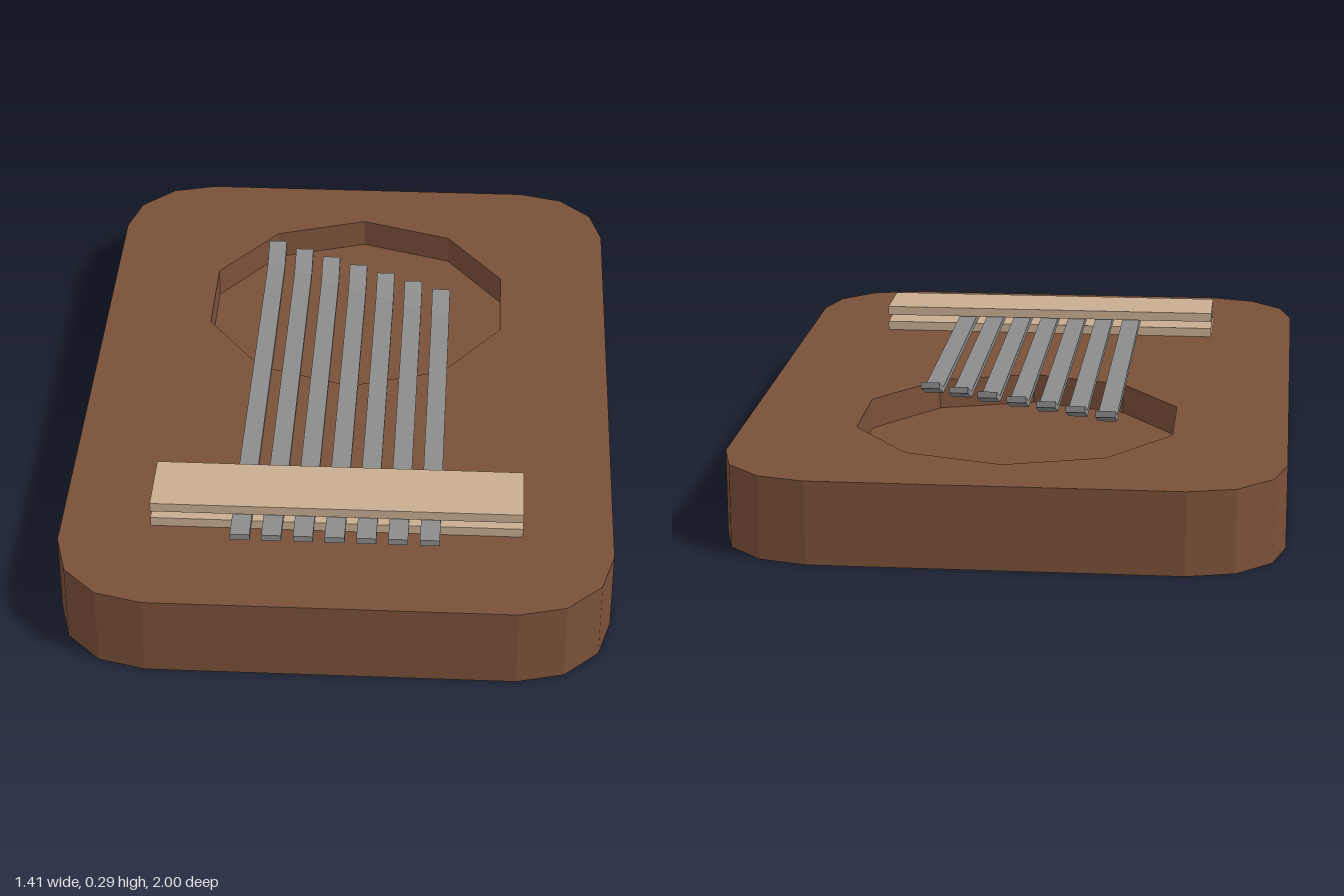
import * as THREE from 'three';

const wood = new THREE.MeshStandardMaterial({ color: 0x7a5039, flatShading: true });
const paleWood = new THREE.MeshStandardMaterial({ color: 0xc8ad90, flatShading: true });
const metal = new THREE.MeshStandardMaterial({ color: 0x8c8c8c, flatShading: true });

const WIDTH = 1.41, LENGTH = 2, HEIGHT = 0.215, CORNER = 0.24;
const POCKET = { z: -0.388, radius: 0.43, sides: 10, floor: 0.135 };

function addMesh(parent, name, geometry, material) {
  const mesh = new THREE.Mesh(geometry, material);
  mesh.name = name;
  parent.add(mesh);
  return mesh;
}

// Slab outline: a rectangle whose corners are arcs of three straight facets
function bodyOutline() {
  const points = [];
  const cx = WIDTH / 2 - CORNER, cy = LENGTH / 2 - CORNER;
  [[1, 1], [-1, 1], [-1, -1], [1, -1]].forEach(([sx, sy], quarter) => {
    for (let i = 0; i <= 3; i++) {
      const a = (quarter + i / 3) * Math.PI / 2;
      points.push(new THREE.Vector2(sx * cx + CORNER * Math.cos(a), sy * cy + CORNER * Math.sin(a)));
    }
  });
  return new THREE.Shape(points);
}

// Slab with a ten-sided sound hole, closed by a recessed floor
function createBody() {
  const body = new THREE.Group();
  body.name = 'body';
  const outline = bodyOutline();
  const hole = [];
  for (let i = 0; i < POCKET.sides; i++) {
    const a = Math.PI / 2 - i * 2 * Math.PI / POCKET.sides;
    hole.push(new THREE.Vector2(POCKET.radius * Math.cos(a), -POCKET.z + POCKET.radius * Math.sin(a)));
  }
  outline.holes.push(new THREE.Path(hole));
  const slab = new THREE.ExtrudeGeometry(outline, { depth: HEIGHT, bevelEnabled: false });
  slab.rotateX(-Math.PI / 2);
  addMesh(body, 'soundboard', slab, wood);

  const floor = new THREE.CylinderGeometry(POCKET.radius, POCKET.radius, POCKET.floor, POCKET.sides);
  addMesh(body, 'soundHoleFloor', floor, wood).position.set(0, POCKET.floor / 2, POCKET.z);
  return body;
}

// Flat metal strip with an upturned tip
function createTine(tipZ) {
  const bottom = 0.24, thick = 0.017, rise = 0.033, start = -0.77;
  const tip = -tipZ, bend = tip - 0.08;
  const profile = new THREE.Shape([
    [start, bottom], [bend, bottom], [tip, bottom + rise],
    [tip, bottom + rise + thick], [bend, bottom + thick], [start, bottom + thick],
  ].map(([x, y]) => new THREE.Vector2(x, y)));
  const width = 0.05;
  const geometry = new THREE.ExtrudeGeometry(profile, { depth: width, bevelEnabled: false });
  geometry.translate(0, 0, -width / 2);
  return geometry.rotateY(Math.PI / 2);
}

export function createModel() {
  const model = new THREE.Group();
  model.name = 'thumbPiano';
  model.add(createBody());

  // Two bars clamping the tines
  const bar = new THREE.BoxGeometry(0.95, 0.025, 0.18);
  addMesh(model, 'lowerBridge', bar, paleWood).position.set(0, 0.2275, 0.6);
  addMesh(model, 'upperBridge', bar, paleWood).position.set(0, 0.2725, 0.6);

  // Seven tines, shortening from right to left
  const tines = new THREE.Group();
  tines.name = 'tines';
  for (let i = 0; i < 7; i++) {
    addMesh(tines, `tine${i + 1}`, createTine(-0.575 + i * 0.039), metal).position.x = (i - 3) * 0.08;
  }
  model.add(tines);
  return model;
}
